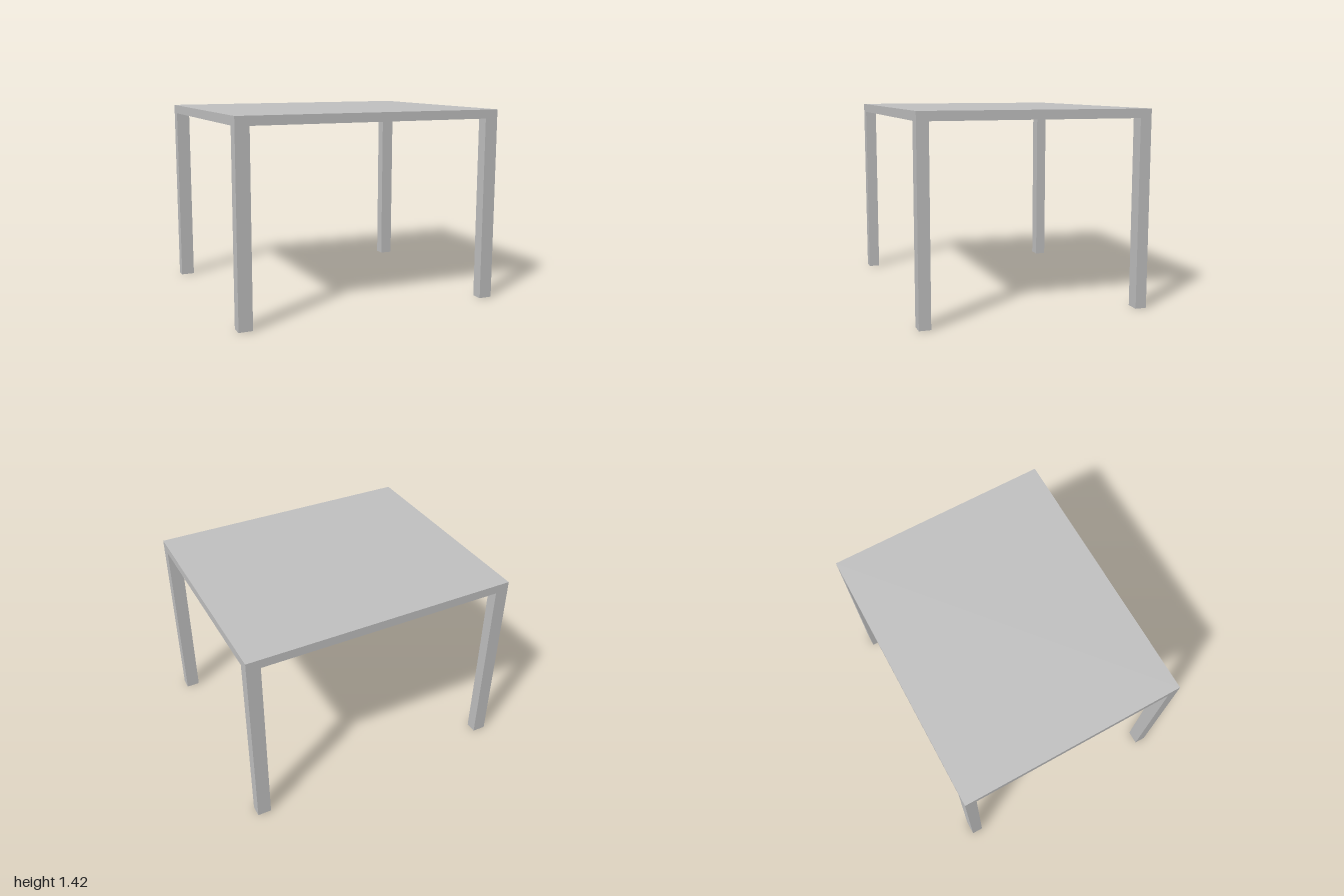
import * as THREE from 'three';

export function createModel() {
  const table = new THREE.Group();
  table.name = 'table';
  const grey = new THREE.MeshStandardMaterial({ color: 0xc0c0c0 });
  grey.name = 'light grey';

  const width = 2, depth = 1.664, height = 1.42, thickness = 0.065;
  const legX = 0.1, legZ = 0.083, legHeight = height - thickness;

  const addBox = (name, w, h, d, x, y, z) => {
    const mesh = new THREE.Mesh(new THREE.BoxGeometry(w, h, d), grey);
    mesh.name = name;
    mesh.position.set(x, y, z);
    table.add(mesh);
  };

  // Slab top
  addBox('tableTop', width, thickness, depth, 0, height - thickness / 2, 0);

  // Four legs flush with the corners of the top
  for (const [side, sx] of [['Left', 1], ['Right', -1]]) {
    for (const [end, sz] of [['front', 1], ['back', -1]]) {
      addBox(`${end}${side}Leg`, legX, legHeight, legZ,
        sx * (width - legX) / 2, legHeight / 2, sz * (depth - legZ) / 2);
    }
  }
  return table;
}
